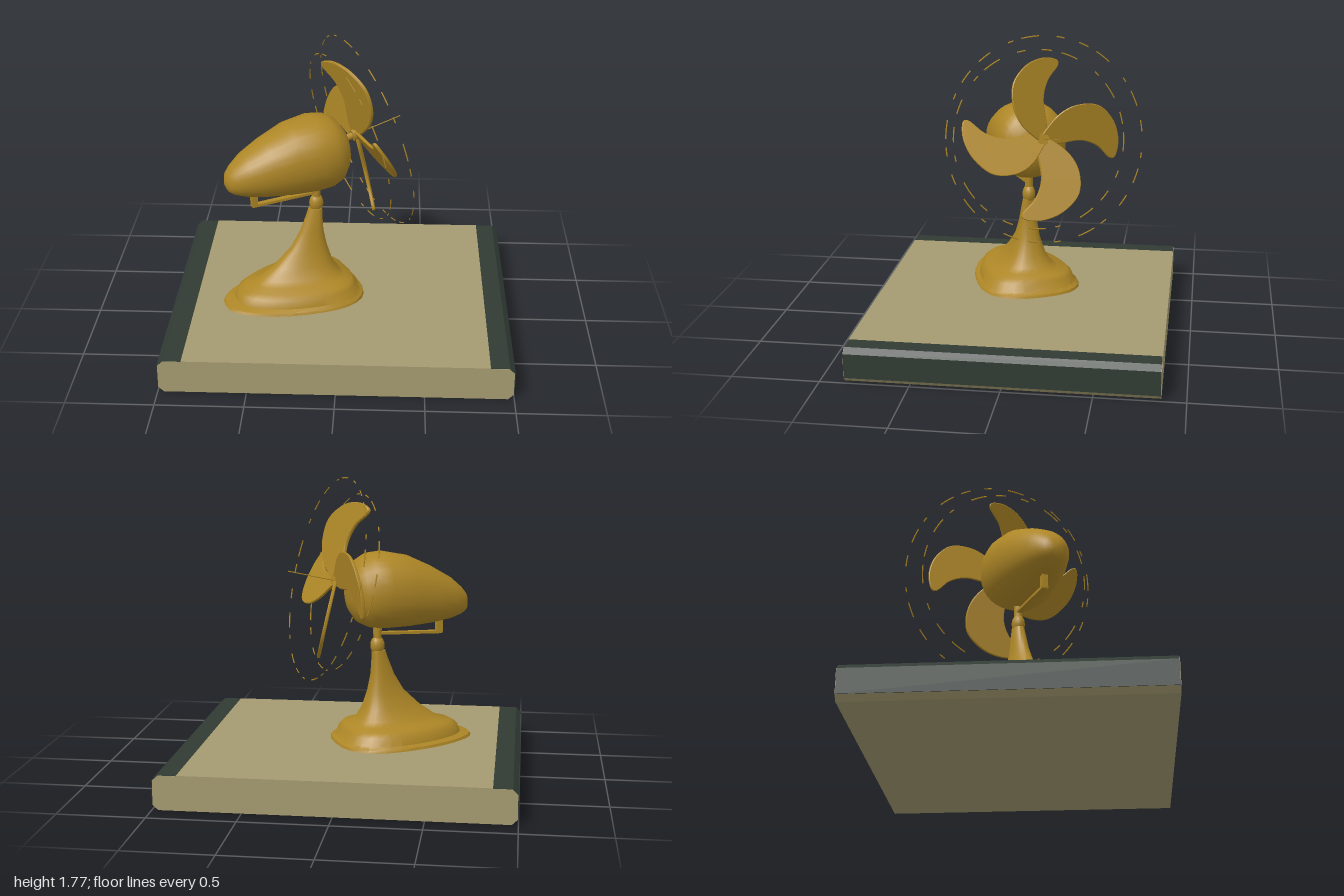
import * as THREE from 'three';
import { toCreasedNormals } from 'three/addons/utils/BufferGeometryUtils.js';

const mat = (name, color) => {
  const m = new THREE.MeshStandardMaterial({ color });
  m.name = name;
  return m;
};

// Skin a list of closed rings of equal size, with both ends capped
function loft(rings, crease = 0.7) {
  const n = rings[0].length, pos = [], idx = [];
  const centre = r => r.reduce((s, p) => s.map((v, i) => v + p[i] / n), [0, 0, 0]);
  rings.forEach(r => r.forEach(p => pos.push(...p)));
  pos.push(...centre(rings[0]), ...centre(rings.at(-1)));
  const last = (rings.length - 1) * n, c0 = rings.length * n;
  for (let j = 0; j < n; j++) {
    const k = (j + 1) % n;
    for (let i = 0; i < last; i += n) {
      idx.push(i + j, i + n + j, i + k, i + k, i + n + j, i + n + k);
    }
    idx.push(c0, j, k, c0 + 1, last + k, last + j);
  }
  const g = new THREE.BufferGeometry();
  g.setAttribute('position', new THREE.Float32BufferAttribute(pos, 3));
  g.setIndex(idx);
  return toCreasedNormals(g, crease);
}

const ring = (n, f) => Array.from({ length: n }, (_, j) => f(j / n * Math.PI * 2));
const spow = (v, e) => Math.sign(v) * Math.abs(v) ** e;

export function createModel() {
  const brass = mat('brass', 0xad8626);
  const beige = mat('beige', 0xa49a70);
  const dark = mat('dark green', 0x303a33);
  const root = new THREE.Group();
  root.name = 'tableFan';

  const add = (parent, name, geo, m, x = 0, y = 0, z = 0) => {
    const mesh = new THREE.Mesh(geo, m);
    mesh.name = name;
    mesh.position.set(x, y, z);
    parent.add(mesh);
    return mesh;
  };

  // Slab with chamfered long edges
  const extrude = (pts, depth) => {
    const s = new THREE.Shape(pts.map(p => new THREE.Vector2(...p)));
    return new THREE.ExtrudeGeometry(s, { depth, bevelEnabled: false }).translate(0, 0, -depth / 2);
  };
  add(root, 'slab', extrude([[-0.965, 0], [0.965, 0], [0.996, 0.03], [0.996, 0.168],
    [0.965, 0.197], [-0.965, 0.197], [-0.996, 0.168], [-0.996, 0.03]], 1.73), beige);
  add(root, 'slabTop', new THREE.BoxGeometry(1.724, 0.004, 1.73), beige, 0, 0.198, 0);

  // Dark edge strips wrapping the two ends
  const strip = extrude([[0.996, 0.03], [1, 0.03], [1, 0.17], [0.968, 0.2], [0.862, 0.2],
    [0.862, 0.197], [0.965, 0.197], [0.996, 0.168]], 1.725);
  add(root, 'leftStrip', strip, dark);
  add(root, 'rightStrip', strip, dark).rotation.y = Math.PI;

  // Everything on the fan is turned about the vertical; local +x is the blow direction
  const fan = new THREE.Group();
  fan.name = 'fan';
  fan.position.set(0.05, 0, -0.1);
  fan.rotation.y = 0.449;
  root.add(fan);

  // Egg-shaped foot sweeping up into the column: [y, back, front, half width]
  const standRows = [
    [0.2, -0.81, 0.04, 0.29], [0.215, -0.8, 0.035, 0.285], [0.228, -0.74, 0.01, 0.265],
    [0.275, -0.72, -0.01, 0.25], [0.3, -0.68, -0.03, 0.225], [0.312, -0.62, -0.07, 0.17],
    [0.34, -0.575, -0.1, 0.135], [0.4, -0.49, -0.135, 0.1], [0.5, -0.385, -0.165, 0.066],
    [0.6, -0.325, -0.185, 0.05], [0.7, -0.285, -0.19, 0.04], [0.745, -0.27, -0.19, 0.034],
  ];
  add(fan, 'stand', loft(standRows.map(([y, b, f, w]) => ring(32, a => {
    const u = Math.cos(a), v = Math.sin(a);
    return [(b + f) / 2 + (f - b) / 2 * spow(u, 0.9), y, w * spow(v, 0.75) * (1 + 0.3 * u)];
  }))), brass);

  // Pivot and the rod beneath the motor
  add(fan, 'pivotKnuckle', new THREE.SphereGeometry(0.048, 14, 10).scale(0.9, 1.2, 0.8), brass, -0.222, 0.775, 0);
  add(fan, 'pivotPost', new THREE.CylinderGeometry(0.027, 0.024, 0.14, 12), brass, -0.222, 0.85, 0);
  add(fan, 'rodPeg', new THREE.BoxGeometry(0.035, 0.09, 0.035), brass, -0.612, 0.873, 0);
  add(fan, 'rod', new THREE.BoxGeometry(0.4, 0.016, 0.035), brass, -0.425, 0.84, 0).rotation.z = 0.04;

  // Teardrop motor housing: [along, bottom, top, half width]
  const motorRows = [
    [-0.785, 0.99, 1.03, 0.02], [-0.77, 0.955, 1.07, 0.06], [-0.74, 0.935, 1.105, 0.09],
    [-0.67, 0.913, 1.165, 0.13], [-0.55, 0.895, 1.235, 0.17], [-0.4, 0.883, 1.305, 0.205],
    [-0.25, 0.88, 1.335, 0.22], [-0.16, 0.89, 1.325, 0.213], [-0.1, 0.92, 1.29, 0.188],
    [-0.06, 0.975, 1.235, 0.14], [-0.042, 1.04, 1.19, 0.08],
  ];
  add(fan, 'motorHousing', loft(motorRows.map(([x, b, t, w]) => ring(28, a =>
    [x, (b + t) / 2 + (t - b) / 2 * spow(Math.sin(a), 0.92), w * spow(Math.cos(a), 0.92)]))), brass);

  // Head tilts slightly upward and carries the blades and the cage
  const head = new THREE.Group();
  head.name = 'head';
  head.position.y = 1.165;
  head.rotation.z = 0.237;
  fan.add(head);
  const axle = (name, r, from, to) => add(head, name,
    new THREE.CylinderGeometry(r, r, to - from, 12).rotateZ(-Math.PI / 2), brass, (from + to) / 2);
  axle('shaft', 0.02, -0.08, 0.03);
  axle('hub', 0.035, 0.01, 0.055);
  axle('frontWire', 0.003, 0.05, 0.33);

  // Four curved, pitched blades
  const edge = new THREE.Shape();
  edge.moveTo(0.015, -0.01);
  edge.lineTo(-0.03, 0);
  edge.splineThru([[-0.13, 0.09], [-0.18, 0.2], [-0.17, 0.33], [-0.08, 0.425], [0.03, 0.465],
    [0.125, 0.455], [0.135, 0.42], [0.06, 0.34], [0.02, 0.23], [0.03, 0.08], [0.015, -0.01]]
    .map(p => new THREE.Vector2(...p)));
  const blade = new THREE.ExtrudeGeometry(edge, {
    depth: 0.012, bevelEnabled: true, bevelThickness: 0.004, bevelSize: 0.004, bevelSegments: 1, curveSegments: 30,
  });
  const p = blade.attributes.position;
  for (let i = 0; i < p.count; i++) p.setZ(i, p.getZ(i) - 0.36 * p.getX(i));
  blade.computeVertexNormals();
  for (let i = 0; i < 4; i++) {
    add(head, 'blade', blade.clone().rotateZ(i * Math.PI / 2).rotateY(Math.PI / 2), brass, 0.03);
  }

  // Cage: two thin rings of broken wire
  for (const [name, x, r, count, phase] of [['backRing', -0.01, 0.52, 20, 0.1], ['frontRing', 0.1, 0.592, 24, 0]]) {
    const cage = new THREE.Group();
    cage.name = name;
    cage.position.x = x;
    head.add(cage);
    for (let i = 0; i < count; i++) {
      const arc = Math.PI * 2 / count * (0.45 + 0.25 * Math.sin(i * 2.4));
      add(cage, 'wire', new THREE.TorusGeometry(r, 0.004, 4, 4, arc)
        .rotateZ(phase + i / count * Math.PI * 2).rotateY(Math.PI / 2), brass);
    }
  }
  return root;
}
